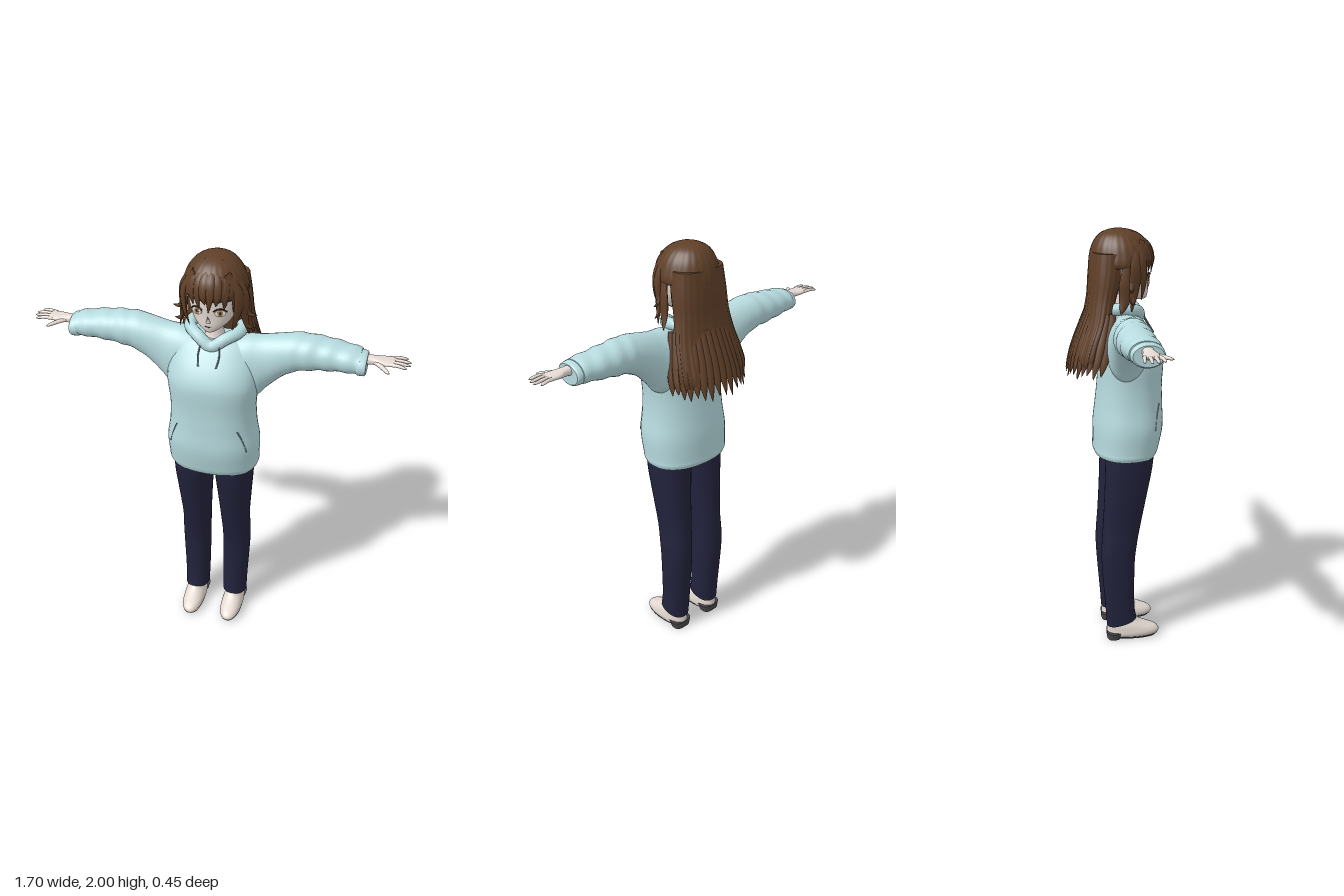
import * as THREE from 'three';
import { mergeVertices, mergeGeometries } from 'three/addons/utils/BufferGeometryUtils.js';

const V = (a) => new THREE.Vector3(...a);
const paint = (name, color, double) => {
  const m = new THREE.MeshStandardMaterial({ color });
  m.name = name;
  if (double) m.side = THREE.DoubleSide;
  return m;
};

// Skin closed rings of points into a smooth body with flat ends
function skin(rings) {
  const n = rings[0].length, pos = [], idx = [];
  rings.forEach((r) => r.forEach((p) => pos.push(p.x, p.y, p.z)));
  for (let i = 0; i < rings.length - 1; i++) for (let j = 0; j < n; j++) {
    const a = i * n + j, b = i * n + (j + 1) % n;
    idx.push(a, b, a + n, b, b + n, a + n);
  }
  [rings[0], rings[rings.length - 1]].forEach((r, end) => {
    const base = pos.length / 3, c = new THREE.Vector3();
    r.forEach((p) => { pos.push(p.x, p.y, p.z); c.addScaledVector(p, 1 / n); });
    pos.push(c.x, c.y, c.z);
    for (let j = 0; j < n; j++) {
      const a = base + j, b = base + (j + 1) % n;
      idx.push(base + n, ...(end ? [a, b] : [b, a]));
    }
  });
  const g = new THREE.BufferGeometry();
  g.setAttribute('position', new THREE.Float32BufferAttribute(pos, 3));
  g.setIndex(idx);
  g.computeVertexNormals();
  return g;
}

// Blend rows of numbers smoothly
function blend(rows, steps) {
  const out = [], last = rows.length - 1, at = (i) => rows[Math.min(last, Math.max(0, i))];
  for (let i = 0; i < last; i++) for (let s = 0; s < steps; s++) {
    const t = s / steps;
    out.push(rows[i].map((p1, k) => {
      const p0 = at(i - 1)[k], p2 = at(i + 1)[k], p3 = at(i + 2)[k];
      return p1 + 0.5 * t * (p2 - p0 + t * (2 * p0 - 5 * p1 + 4 * p2 - p3 + t * (3 * (p1 - p2) + p3 - p0)));
    }));
  }
  out.push(rows[last]);
  return out;
}

// Rows are [position, aMin, aMax, zMin, zMax]; a is x when lofting up y, and y when lofting along x
function loft(axis, rows, { n = 2, segs = 36, steps = 4, ripple = () => 1 } = {}) {
  const bend = (v) => Math.sign(v) * Math.abs(v) ** (2 / n);
  return skin(blend(rows, steps).map(([p, a0, a1, b0, b1]) => Array.from({ length: segs }, (_, j) => {
    const t = j / segs * Math.PI * 2, k = ripple(t, p);
    const u = bend(axis === 'y' ? Math.sin(t) : Math.cos(t)), w = bend(axis === 'y' ? Math.cos(t) : Math.sin(t));
    const a = (a0 + a1) / 2 + (a1 - a0) / 2 * u * k, b = (b0 + b1) / 2 + (b1 - b0) / 2 * w * k;
    return axis === 'y' ? new THREE.Vector3(a, p, b) : new THREE.Vector3(p, a, b);
  })));
}
const sym = (rows) => rows.map(([y, w, b, f]) => [y, -w, w, b, f]);

// Flattened strand along a curve; outward gives the thin direction
const hairTaper = (t) => 0.04 + 0.96 * Math.min(1, 0.6 + t) * (1 - t ** 3);
const fingerTaper = (t) => (1 - 0.25 * t) * Math.sqrt(Math.max(0.03, 1 - t ** 8));
const fromHead = (c) => new THREE.Vector3(c.x, c.y - Math.min(c.y, 1.82), c.z - 0.02);
function strand(points, w, h, taper = hairTaper, outward = fromHead) {
  const curve = new THREE.CatmullRomCurve3(points.map(V)), rings = [];
  for (let i = 0; i <= 14; i++) {
    const t = i / 14, c = curve.getPoint(t), T = curve.getTangent(t), out = outward(c);
    out.addScaledVector(T, -out.dot(T)).normalize();
    const side = new THREE.Vector3().crossVectors(out, T), k = taper(t);
    rings.push(Array.from({ length: 8 }, (_, j) => {
      const a = j / 8 * Math.PI * 2;
      return c.clone().addScaledVector(side, Math.cos(a) * w * k).addScaledVector(out, Math.sin(a) * h * k);
    }));
  }
  return skin(rings);
}
const cord = (pts, r, closed = false) =>
  new THREE.TubeGeometry(new THREE.CatmullRomCurve3(pts.map(V), closed), closed ? 48 : 14, r, closed ? 14 : 6, closed);

function mirrored(geo) {
  const g = geo.index ? geo.clone() : mergeVertices(geo);
  g.scale(-1, 1, 1);
  const ix = g.index.array;
  for (let i = 0; i < ix.length; i += 3) [ix[i], ix[i + 1]] = [ix[i + 1], ix[i]];
  g.computeVertexNormals();
  return g;
}

export function createModel() {
  const root = new THREE.Group();
  root.name = 'girlInHoodie';
  const cloth = paint('paleBlueCloth', 0xb6dade), seam = paint('seamBlue', 0x7fa3a8);
  const navy = paint('navyCloth', 0x22223c), hair = paint('brownHair', 0x5f3f28);
  const skinTone = paint('skin', 0xe6dad3), shoe = paint('creamLeather', 0xe2d8d0);
  const sole = paint('darkSole', 0x48464a), white = paint('eyeWhite', 0xf4efe8);
  const iris = paint('amberIris', 0xb58e5e), lash = paint('darkLash', 0x33231b);
  const add = (name, geo, mat) => {
    const m = new THREE.Mesh(geo, mat);
    m.name = name;
    root.add(m);
  };
  const both = (name, geo, mat) => {
    add('left' + name, geo, mat);
    add('right' + name, mirrored(geo), mat);
  };

  // Hoodie: body, sleeves, hood and pocket
  add('hoodieBody', loft('y', sym([[0.957, 0.205, -0.09, 0.198], [0.975, 0.212, -0.096, 0.207], [1.0, 0.212, -0.095, 0.214],
    [1.1, 0.215, -0.093, 0.232], [1.2, 0.2, -0.082, 0.228], [1.3, 0.196, -0.072, 0.226], [1.4, 0.205, -0.068, 0.231],
    [1.45, 0.205, -0.066, 0.224], [1.5, 0.2, -0.064, 0.2], [1.55, 0.19, -0.06, 0.165], [1.6, 0.165, -0.05, 0.125],
    [1.625, 0.12, -0.04, 0.095]]), { n: 2.3, segs: 48 }), cloth);
  const folds = (t, x) => 1 + 0.035 * THREE.MathUtils.smoothstep(x, 0.3, 0.45) * Math.sin(x * 75 + 2 * Math.sin(t));
  both('Sleeve', loft('x', [[0.08, 1.42, 1.625, -0.045, 0.13], [0.15, 1.34, 1.638, -0.055, 0.135], [0.2, 1.345, 1.64, -0.055, 0.128],
    [0.24, 1.39, 1.645, -0.053, 0.12], [0.3, 1.45, 1.656, -0.052, 0.115], [0.35, 1.482, 1.664, -0.054, 0.112],
    [0.4, 1.5, 1.665, -0.056, 0.11], [0.5, 1.515, 1.655, -0.056, 0.105], [0.6, 1.525, 1.64, -0.044, 0.108],
    [0.64, 1.526, 1.632, -0.034, 0.11]], { steps: 6, ripple: folds }), cloth);
  both('Cuff', loft('x', [[0.625, 1.53, 1.625, -0.028, 0.104], [0.635, 1.524, 1.628, -0.032, 0.11],
    [0.66, 1.524, 1.624, -0.03, 0.11], [0.668, 1.53, 1.618, -0.024, 0.104]]), cloth);
  add('hoodCollar', cord([[0, 1.6, 0.12], [0.06, 1.635, 0.105], [0.112, 1.652, 0.05], [0.1, 1.655, -0.03],
    [0, 1.655, -0.06], [-0.1, 1.655, -0.03], [-0.112, 1.652, 0.05], [-0.06, 1.635, 0.105]], 0.027, true), cloth);
  add('hoodBag', new THREE.SphereGeometry(1, 28, 18).scale(0.13, 0.1, 0.045).translate(0, 1.575, -0.06), cloth);
  both('Drawstring', cord([[0.042, 1.612, 0.135], [0.047, 1.57, 0.16], [0.04, 1.53, 0.184]], 0.0035), seam);
  both('PocketSlit', cord([[0.14, 1.22, 0.193], [0.163, 1.16, 0.179], [0.18, 1.1, 0.171]], 0.003), seam);

  // Trousers with slanted hems
  const leg = loft('y', [[0.08, 0.043, 0.16, -0.045, 0.1], [0.2, 0.04, 0.162, -0.055, 0.09], [0.4, 0.037, 0.17, -0.07, 0.09],
    [0.5, 0.035, 0.17, -0.07, 0.1], [0.6, 0.03, 0.167, -0.063, 0.117], [0.75, 0.02, 0.177, -0.055, 0.145],
    [0.9, 0.008, 0.188, -0.05, 0.172], [1.0, 0, 0.19, -0.045, 0.18]], { n: 2.3 });
  const lp = leg.attributes.position;
  for (let i = 0; i < lp.count; i++) if (lp.getY(i) < 0.1) lp.setY(i, lp.getY(i) + lp.getZ(i) * 0.25);
  both('TrouserLeg', leg, navy);

  // Shoes with sole and heel
  both('Shoe', loft('y', [[0.012, 0.053, 0.15, -0.042, 0.208], [0.03, 0.048, 0.156, -0.045, 0.216], [0.05, 0.05, 0.154, -0.045, 0.2],
    [0.07, 0.055, 0.15, -0.044, 0.155], [0.09, 0.062, 0.143, -0.042, 0.115], [0.118, 0.07, 0.135, -0.035, 0.088]], { n: 2.3 }), shoe);
  both('Sole', loft('y', [[0.003, 0.056, 0.147, -0.02, 0.2], [0.014, 0.051, 0.153, -0.044, 0.211]], { n: 2.3 }), sole);
  both('Heel', loft('y', [[0, 0.056, 0.148, -0.045, 0.02], [0.036, 0.047, 0.157, -0.047, 0.03]], { n: 3 }), sole);

  // Hands
  const palm = loft('x', [[0.64, 1.57, 1.615, 0.01, 0.065], [0.69, 1.575, 1.612, 0.012, 0.06], [0.73, 1.58, 1.608, 0, 0.07],
    [0.775, 1.586, 1.605, -0.002, 0.07], [0.785, 1.591, 1.6, 0.004, 0.064]], { segs: 24, n: 2.4 });
  const up = () => new THREE.Vector3(0, 1, 0);
  const fingers = [[0.005, -0.008, 0.835], [0.025, 0.02, 0.852], [0.045, 0.046, 0.85], [0.063, 0.074, 0.836]].map(([z0, z1, x1]) =>
    strand([[0.76, 1.596, z0], [0.8, 1.598, (z0 + z1) / 2], [x1, 1.592, z1]], 0.0095, 0.0085, fingerTaper, up));
  const thumb = strand([[0.7, 1.592, 0.05], [0.735, 1.589, 0.082], [0.768, 1.584, 0.119]], 0.012, 0.01, fingerTaper, up);
  both('Hand', mergeGeometries([palm, thumb, ...fingers]), skinTone);

  // Head, neck and face
  add('neck', loft('y', sym([[1.58, 0.06, 0, 0.112], [1.63, 0.042, 0.005, 0.094], [1.68, 0.035, 0.01, 0.085], [1.74, 0.035, 0.01, 0.085]])), skinTone);
  add('head', loft('y', sym([[1.682, 0.018, 0.09, 0.145], [1.692, 0.04, 0.05, 0.155], [1.72, 0.076, 0, 0.16], [1.76, 0.101, -0.05, 0.16],
    [1.8, 0.113, -0.08, 0.162], [1.86, 0.115, -0.085, 0.16], [1.92, 0.09, -0.06, 0.13]])), skinTone);
  add('nose', new THREE.ConeGeometry(0.01, 0.035, 8).rotateX(0.35).translate(0, 1.755, 0.164), skinTone);
  add('mouth', cord([[-0.014, 1.717, 0.158], [0, 1.715, 0.16], [0.014, 1.717, 0.158]], 0.0018), lash);
  const disc = (w, h, depth, dx, dy) => new THREE.CylinderGeometry(1, 1, 1, 24).rotateX(Math.PI / 2)
    .scale(w, h, depth).translate(dx, dy, 0).rotateY(0.42).translate(0.05, 1.785, 0.152);
  both('EyeWhite', disc(0.024, 0.017, 0.006, 0, 0), white);
  both('Iris', disc(0.012, 0.016, 0.009, 0, 0), iris);
  both('Pupil', disc(0.005, 0.008, 0.0095, 0, 0), lash);
  both('Lash', cord([[0.024, 1.794, 0.165], [0.038, 1.803, 0.16], [0.06, 1.803, 0.151], [0.078, 1.789, 0.141]], 0.0032), lash);

  // Hair: crown and long back, both finely grooved
  const groove = (t, y) => 1 + (y > 1.8 ? 0.008 : 0.008 + (1.8 - y) * 0.06) * Math.cos(t * 24);
  const crown = sym([[1.835, 0.135, -0.11, 0.165], [1.85, 0.142, -0.11, 0.178], [1.88, 0.138, -0.107, 0.181], [1.93, 0.12, -0.093, 0.162],
    [1.97, 0.089, -0.066, 0.125], [1.99, 0.054, -0.032, 0.085], [1.998, 0.022, 0.002, 0.046], [2.0, 0.004, 0.02, 0.028]]);
  add('hairCrown', loft('y', crown, { segs: 96, ripple: groove }), hair);
  add('hairBack', loft('y', sym([[1.41, 0.185, -0.19, -0.065], [1.45, 0.192, -0.188, -0.055], [1.52, 0.183, -0.162, -0.04], [1.6, 0.168, -0.135, -0.01],
    [1.7, 0.15, -0.117, 0.01], [1.8, 0.143, -0.111, 0.04], [1.9, 0.13, -0.1, 0.05]]), { n: 2.3, segs: 96, ripple: groove }), hair);
  const locks = [];
  for (let i = 0; i <= 16; i++) {
    const a = (i / 16 - 0.5) * 3.1, s = Math.sin(a), c = Math.cos(a) ** 0.8, tip = 1.35 + 0.012 * Math.sin(i * 4.3) + 0.02 * s * s;
    locks.push(strand([[0.155 * s, 1.64, -0.02 - 0.1 * c], [0.175 * s, 1.53, -0.045 - 0.115 * c],
      [0.195 * s, 1.43, -0.065 - 0.132 * c], [0.205 * s, tip, -0.08 - 0.138 * c]], 0.027, 0.014));
  }
  add('backLocks', mergeGeometries(locks), hair);

  // Fringe and side locks
  const fringe = [-0.105, -0.075, -0.045, -0.018, 0.012, 0.042, 0.073, 0.105].map((x, i) => {
    const d = x * x * 5, tip = [1.78, 1.808, 1.8, 1.825, 1.79, 1.82, 1.802, 1.78][i];
    return strand([[x * 0.3, 1.985, 0.08], [x * 0.85, 1.93, 0.16 - d], [x, 1.865, 0.182 - d], [x * 1.02 - 0.008 * Math.sign(x), tip, 0.176 - d]], 0.023, 0.009);
  });
  add('fringe', mergeGeometries(fringe), hair);
  both('SideLocks', mergeGeometries([
    strand([[0.09, 1.94, 0.09], [0.133, 1.85, 0.085], [0.138, 1.75, 0.075], [0.155, 1.65, 0.06]], 0.036, 0.014),
    strand([[0.07, 1.95, 0.12], [0.12, 1.86, 0.115], [0.116, 1.77, 0.12], [0.095, 1.69, 0.115]], 0.028, 0.01),
    strand([[0.125, 1.87, 0.05], [0.14, 1.78, 0.04], [0.145, 1.7, 0.03], [0.168, 1.64, 0.01]], 0.036, 0.013),
    strand([[0.13, 1.85, 0.07], [0.142, 1.78, 0.065], [0.158, 1.745, 0.058], [0.188, 1.742, 0.05]], 0.014, 0.008),
    strand([[0.13, 1.8, 0.08], [0.14, 1.72, 0.075], [0.155, 1.69, 0.065], [0.18, 1.685, 0.055]], 0.012, 0.007),
  ]), hair);
  return root;
}
